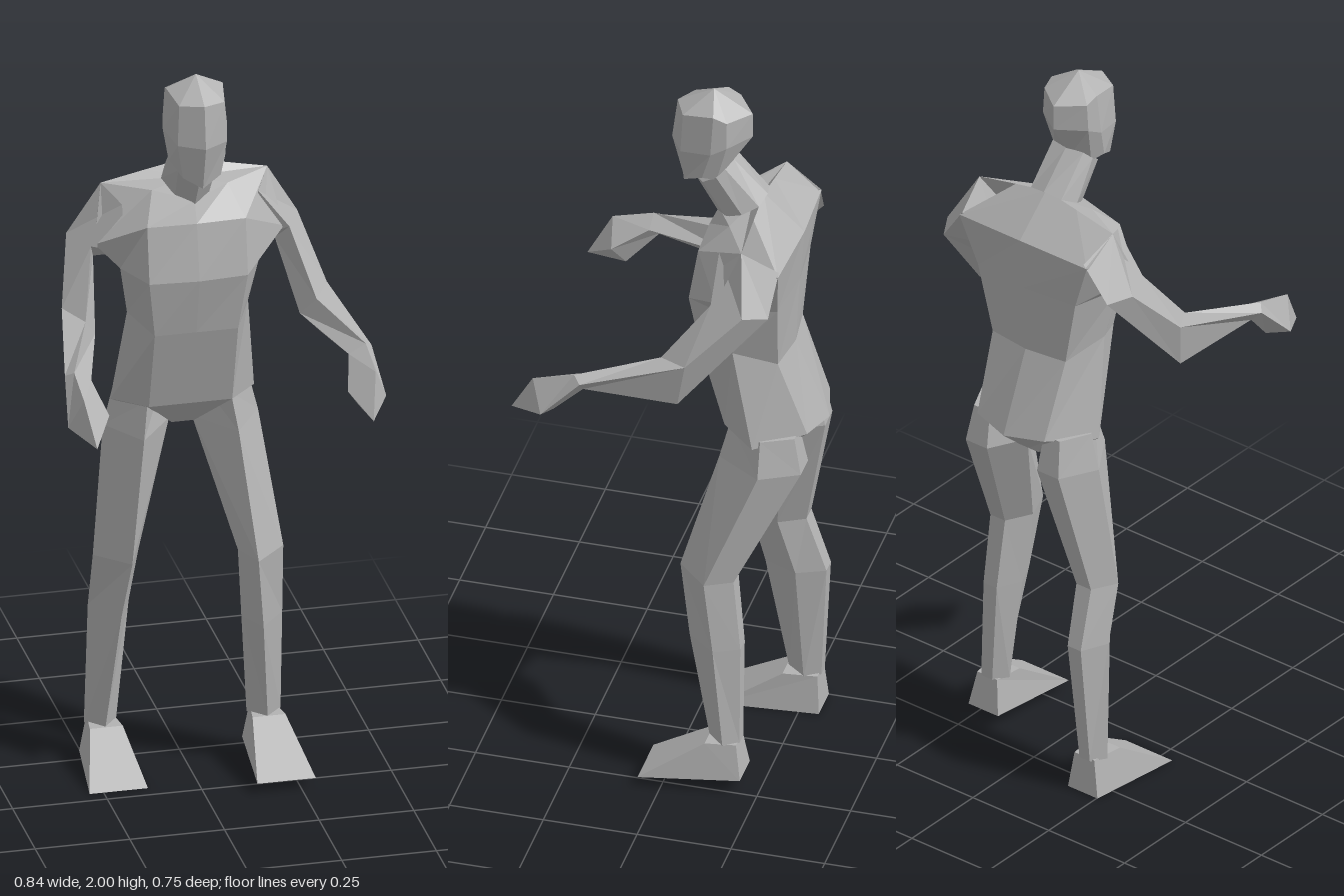
import * as THREE from 'three';

const grey = new THREE.MeshStandardMaterial({ color: 0xb2b2b2, flatShading: true });
grey.name = 'plain grey';

// Skin closed rings of [x, y, z] points, capping both ends (a one-point ring makes a tip)
function loft(name, rings) {
  const tris = [];
  const mean = (r) => [0, 1, 2].map((k) => r.reduce((s, p) => s + p[k], 0) / r.length);
  const n = rings[0].length;
  for (let i = 0; i < rings.length - 1; i++) {
    const a = rings[i], b = rings[i + 1];
    for (let j = 0; j < n; j++) {
      const k = (j + 1) % n;
      if (b.length === 1) tris.push([a[j], a[k], b[0]]);
      else tris.push([a[j], a[k], b[k]], [a[j], b[k], b[j]]);
    }
  }
  const first = rings[0], last = rings[rings.length - 1];
  for (let j = 0; j < n; j++) {
    const k = (j + 1) % n;
    tris.push([first[k], first[j], mean(first)]);
    if (last.length > 1) tris.push([last[j], last[k], mean(last)]);
  }
  // Turn the faces outward whichever way the rings run
  let volume = 0;
  for (const [a, b, c] of tris) {
    volume += new THREE.Vector3(...a).dot(new THREE.Vector3(...b).cross(new THREE.Vector3(...c)));
  }
  if (volume < 0) tris.forEach((t) => t.reverse());
  const geo = new THREE.BufferGeometry();
  geo.setAttribute('position', new THREE.Float32BufferAttribute(tris.flat(2), 3));
  geo.computeVertexNormals();
  const mesh = new THREE.Mesh(geo, grey);
  mesh.name = name;
  return mesh;
}

const flip = ([x, y, z]) => [-x, y, z];
// Complete a half ring that runs from front centre to back centre
const mirrorRing = (half) =>
  half.length === 1 ? half : [...half, ...half.slice(1, -1).reverse().map(flip)];

// Half rings: front centre, front corner, side, back corner, back centre
const torso = [
  [[0, .95, -.21], [.03, .95, -.21], [.035, .95, -.24], [.03, .95, -.27], [0, .95, -.27]],
  [[0, 1.04, -.125], [.11, 1.04, -.125], [.19, 1.03, -.22], [.11, 1.05, -.345], [0, 1.04, -.375]],
  [[0, 1.27, -.06], [.11, 1.27, -.06], [.16, 1.3, -.16], [.12, 1.26, -.27], [0, 1.26, -.285]],
  [[0, 1.43, -.025], [.13, 1.43, -.035], [.185, 1.44, -.13], [.16, 1.45, -.28], [0, 1.45, -.295]],
  [[0, 1.58, -.055], [.13, 1.58, -.06], [.25, 1.51, -.14], [.21, 1.59, -.295], [0, 1.6, -.308]],
  [[0, 1.635, -.08], [.1, 1.65, -.135], [.22, 1.655, -.2], [.1, 1.68, -.2], [0, 1.7, -.2]],
];
const neck = [
  [[0, 1.62, -.08], [.045, 1.64, -.11], [.07, 1.67, -.16], [.05, 1.69, -.2], [0, 1.7, -.21]],
  [[0, 1.72, -.02], [.05, 1.74, -.05], [.065, 1.77, -.09], [.05, 1.79, -.11], [0, 1.79, -.12]],
];
const head = [
  [[0, 1.71, .012], [.05, 1.74, 0], [.075, 1.77, -.055], [.06, 1.76, -.09], [0, 1.76, -.1]],
  [[0, 1.835, .045], [.065, 1.835, .005], [.085, 1.85, -.08], [.075, 1.87, -.12], [0, 1.87, -.17]],
  [[0, 1.95, .03], [.06, 1.945, 0], [.075, 1.96, -.085], [.07, 1.945, -.12], [0, 1.94, -.17]],
  [[0, 2, -.067]],
];

// Arm rings from shoulder to fingertips: front, outer, back, inner
const arm = [
  [[.18, 1.62, -.13], [.22, 1.655, -.2], [.2, 1.6, -.295], [.16, 1.46, -.18]],
  [[.262, 1.51, -.13], [.305, 1.51, -.225], [.27, 1.5, -.285], [.24, 1.45, -.2]],
  [[.305, 1.355, -.01], [.35, 1.365, -.085], [.33, 1.235, -.06], [.27, 1.3, -.05]],
  [[.385, 1.315, .2], [.405, 1.3, .18], [.37, 1.265, .18], [.34, 1.29, .2]],
  [[.385, 1.285, .31], [.42, 1.2, .28], [.35, 1.175, .265], [.315, 1.23, .295]],
  [[.365, 1.175, .372]],
];

// Leg ring: a front ridge, two sides and a flat back
const legRing = ([y, xIn, xOut, xFront, zF, zB]) => {
  const mid = zF + (zB - zF) * .55, w = xOut - xIn;
  return [[xFront, y, zF], [xOut, y, mid], [xOut - w * .3, y, zB], [xIn + w * .3, y, zB], [xIn, y, mid]];
};
const leftLeg = [
  [1.05, .05, .18, .11, -.14, -.32],
  [.95, .03, .205, .125, -.115, -.34],
  [.62, .12, .24, .155, -.02, -.175],
  [.42, .135, .243, .175, -.05, -.195],
  [.135, .155, .245, .2, -.11, -.195],
].map(legRing);
const rightLeg = [
  [1.05, .05, .18, .11, -.14, -.32],
  [.95, .03, .205, .125, -.115, -.34],
  [.6, .12, .24, .155, -.12, -.27],
  [.44, .135, .243, .175, -.155, -.32],
  [.1, .165, .25, .205, -.21, -.3],
].map(legRing);

// Wedge foot flaring from the ankle to a thin broad toe
function footRings(ankleY, ankleF, ankleB, toeY, toeZ, heelY, heelZ) {
  return [
    [[.16, ankleY, ankleF], [.247, ankleY, ankleF], [.235, ankleY, ankleB], [.17, ankleY, ankleB]],
    [[.133, toeY, toeZ], [.287, toeY, toeZ], [.252, heelY, heelZ], [.155, heelY, heelZ]],
  ];
}

export function createModel() {
  const model = new THREE.Group();
  model.name = 'figure';
  model.add(
    loft('torso', torso.map(mirrorRing)),
    loft('neck', neck.map(mirrorRing)),
    loft('head', head.map(mirrorRing)),
    loft('leftArm', arm),
    loft('rightArm', arm.map((r) => r.map(flip))),
    loft('leftLeg', leftLeg),
    loft('rightLeg', rightLeg.map((r) => r.map(flip))),
    loft('leftFoot', footRings(.137, -.11, -.19, .028, .058, .04, -.205)),
    loft('rightFoot', footRings(.105, -.205, -.295, 0, -.04, 0, -.303).map((r) => r.map(flip))),
  );
  return model;
}
